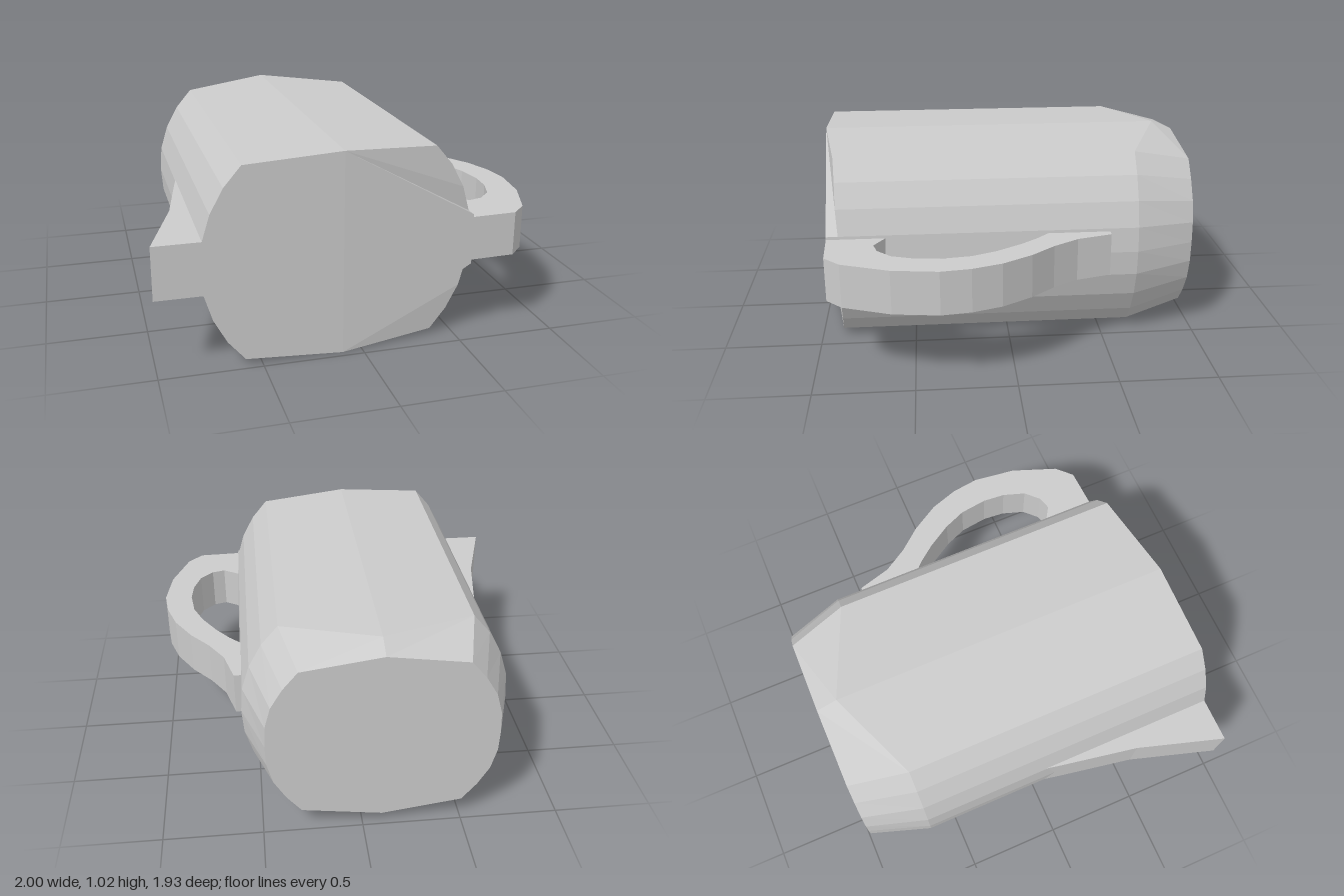
import * as THREE from 'three';

const material = new THREE.MeshStandardMaterial({ color: 0xcccccc, flatShading: true });
const CX = -0.1, CY = 0.51;

// Quarter outlines, from the ridge to the side, relative to the body axis
const wide = [[0, 0.51], [0.48, 0.48], [0.565, 0.38], [0.63, 0.26], [0.67, 0.13], [0.68, 0]];
const narrow = [[0, 0.467], [0.405, 0.41], [0.48, 0.32], [0.54, 0.22], [0.57, 0.11], [0.575, 0]];

// Full 20-point ring: top, right, bottom, left. zAt(quarterIndex, isRight) gives the depth
function ring(quarter, zAt) {
  const points = [];
  for (let i = 0; i < 20; i++) {
    const k = i % 10 <= 5 ? i % 10 : 10 - (i % 10);
    const right = i < 10;
    const up = i < 5 || i > 15;
    const [x, y] = quarter[k];
    points.push([CX + (right ? x : -x), CY + (up ? y : -y), zAt(k, right)]);
  }
  return points;
}

function createBody() {
  const positions = [];
  const tri = (a, b, c) => positions.push(...a, ...b, ...c);
  const quad = (a, b, c, d) => { tri(a, b, c); tri(a, c, d); };

  const frontZ = [0.965, 0.89, 0.883, 0.88, 0.87, 0.93];
  const front = ring(wide, (k, right) => (right ? frontZ[k] : 0.965));
  const shoulder = ring(wide, (k) => (k === 0 ? -0.86 : -0.66));
  const back = ring(narrow, () => -0.97);
  // Raised lip corners beside the handle
  const lip = { 4: [front[4][0], front[4][1], 0.93], 6: [front[6][0], front[6][1], 0.93] };

  for (let i = 0; i < 20; i++) {
    const j = (i + 1) % 20;
    const a = i === 5 ? front[5] : i === 4 ? lip[4] : front[i];
    const b = i === 5 ? lip[6] : front[j];
    quad(a, b, shoulder[j], shoulder[i]);
    quad(shoulder[i], shoulder[j], back[j], back[i]);
    if (i > 0 && i < 19) tri(back[0], back[i], back[j]);
  }

  // Front face
  const top = front[0], bottom = front[10];
  for (let i = 10; i < 19; i++) tri(top, front[i + 1], front[i]);
  tri(top, bottom, lip[6]);
  tri(top, lip[6], front[5]);
  tri(top, front[5], lip[4]);
  // Recessed corners and the steep walls above them
  for (let i = 1; i < 4; i++) tri(top, front[i + 1], front[i]);
  for (let i = 6; i < 9; i++) tri(bottom, front[i + 1], front[i]);
  tri(top, lip[4], front[4]);
  tri(bottom, front[6], lip[6]);

  const geometry = new THREE.BufferGeometry();
  geometry.setAttribute('position', new THREE.Float32BufferAttribute(positions, 3));
  geometry.computeVertexNormals();
  return geometry;
}

// Horizontal slab from an outline of [x, z] points
function slab(outline, y0, y1) {
  const shape = new THREE.Shape(outline.map(([x, z]) => new THREE.Vector2(x, -z)));
  const geometry = new THREE.ExtrudeGeometry(shape, { depth: y1 - y0, bevelEnabled: false });
  return geometry.rotateX(-Math.PI / 2).translate(0, y0, 0);
}

export function createModel() {
  const group = new THREE.Group();
  group.name = 'pitcher';
  const add = (name, geometry) => {
    const mesh = new THREE.Mesh(geometry, material);
    mesh.name = name;
    group.add(mesh);
  };

  add('body', createBody());

  // Curved handle: outer edge, then inner edge
  add('handle', slab([
    [0.57, -0.51], [0.61, -0.51], [0.66, -0.33], [0.74, -0.2], [0.84, -0.08], [0.93, 0.07],
    [0.98, 0.22], [1, 0.37], [0.97, 0.6], [0.88, 0.84], [0.8, 0.92], [0.565, 0.93],
    [0.565, 0.63], [0.66, 0.69], [0.73, 0.67], [0.8, 0.6], [0.84, 0.48], [0.85, 0.36],
    [0.83, 0.21], [0.78, 0.09], [0.7, -0.04], [0.63, -0.13], [0.57, -0.19],
  ], 0.4, 0.625));

  // Pouring spout
  add('spout', slab([[-0.765, 0.965], [-1, 0.965], [-0.86, 0.51], [-0.785, 0.1], [-0.765, 0]], 0.38, 0.645));

  return group;
}
